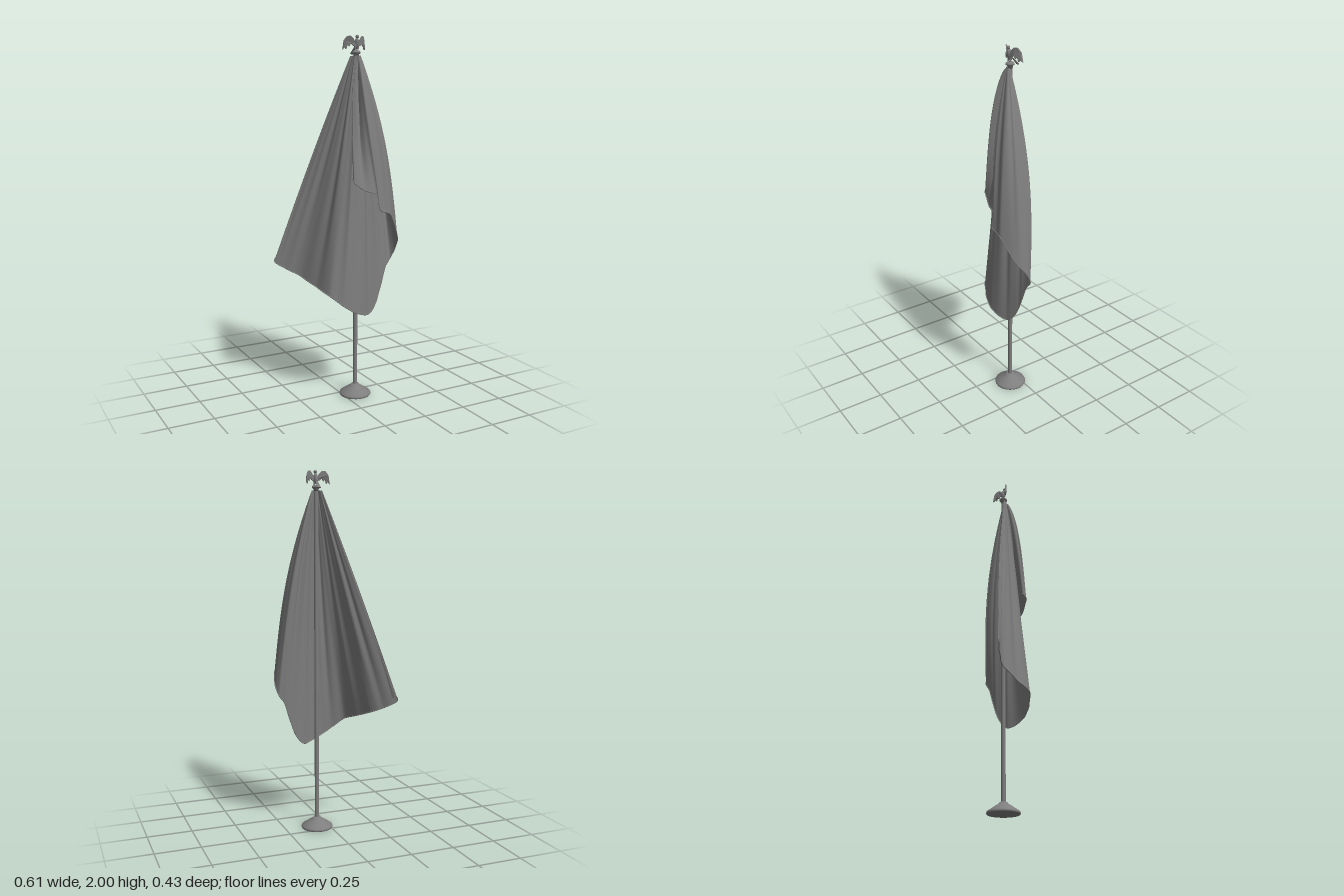
import * as THREE from 'three';

const PX = 0.07, PZ = 0.055; // pole axis
const material = new THREE.MeshStandardMaterial({ color: 0x7e7e7e });
const clothMaterial = new THREE.MeshStandardMaterial({ color: 0x7e7e7e, side: THREE.DoubleSide });

function part(name, geometry, x = 0, y = 0, z = 0, mat = material) {
  const mesh = new THREE.Mesh(geometry, mat);
  mesh.name = name;
  mesh.position.set(x, y, z);
  return mesh;
}

function lathe(points, sides) {
  return new THREE.LatheGeometry(points.map(p => new THREE.Vector2(p[0], p[1])), sides);
}

// Cloth columns along the hem: hem x, y, z, then sideways and forward bulge
const columns = [
  [-0.275, 0.775, -0.192, 0, 0], [-0.292, 0.785, -0.21, 0, -0.012], [-0.3, 0.755, -0.208, 0, -0.015],
  [-0.24, 0.715, -0.165, 0, -0.01], [-0.19, 0.685, -0.11, 0, 0], [-0.15, 0.645, 0.0, 0, 0],
  [-0.115, 0.61, 0.1, 0, 0], [-0.05, 0.555, 0.135, 0, 0.01], [0.02, 0.51, 0.148, 0, 0.01],
  [0.12, 0.48, 0.118, 0.01, 0.01], [0.18, 0.54, 0.096, 0.02, 0], [0.22, 0.64, 0.084, 0.03, -0.015],
  [0.25, 0.73, 0.078, 0.035, -0.025], [0.285, 0.78, 0.075, 0.035, -0.03], [0.298, 0.85, 0.11, 0.035, 0],
  [0.27, 0.93, 0.165, 0.035, 0.012], [0.2, 1.05, 0.205, 0.03, 0.02], [0.135, 1.08, 0.21, 0.005, 0.022],
  [0.12, 1.16, 0.2, -0.015, 0.02], [0.05, 1.19, 0.183, 0, -0.025], [0, 1.23, 0.165, -0.028, 0.018],
  [0.005, 1.26, 0.145, -0.026, 0.012], [0.07, 1.27, 0.145, 0, -0.01], [0.12, 1.29, 0.15, 0, -0.01],
];
const spline = pts => new THREE.CatmullRomCurve3(pts, false, 'catmullrom', 0.4);
const hemCurve = spline(columns.map(c => new THREE.Vector3(c[0], c[1], c[2])));
const bulgeCurve = spline(columns.map(c => new THREE.Vector3(c[3], 0, c[4])));

// Point on the cloth: u runs along the hem, v from the gathered top down
function clothPoint(u, v) {
  const hem = hemCurve.getPoint(u);
  const top = new THREE.Vector3(PX + (hem.x - PX) * 0.08, 1.89, PZ + 0.01 + (hem.z - PZ) * 0.08);
  const tangent = hemCurve.getTangent(u);
  const p = top.lerp(hem, v);
  // The folded-over flap bulges higher up than the hanging sheet
  const rise = 0.9 - 0.3 * THREE.MathUtils.smoothstep(u, 0.78, 0.87);
  p.addScaledVector(bulgeCurve.getPoint(u), Math.sin(Math.PI * Math.pow(v, rise)));
  // Pleats fanning out from the top
  const ends = Math.min(1, u * 12, (1 - u) * 12);
  const fold = Math.sin(u * Math.PI * 34) * 0.0045 + Math.sin(u * Math.PI * 58 + v * 3) * 0.002;
  const depth = fold * ends * Math.sin(Math.PI * (0.06 + 0.8 * v));
  p.x -= tangent.z * depth;
  p.z += tangent.x * depth;
  return p;
}

function clothGeometry(cols, rows) {
  const positions = [], index = [];
  for (let j = 0; j <= rows; j++) {
    for (let i = 0; i <= cols; i++) {
      positions.push(...clothPoint(i / cols, j / rows).toArray());
      if (i < cols && j < rows) {
        const a = j * (cols + 1) + i, b = a + cols + 1;
        index.push(a, b, a + 1, b, b + 1, a + 1);
      }
    }
  }
  const g = new THREE.BufferGeometry();
  g.setAttribute('position', new THREE.Float32BufferAttribute(positions, 3));
  g.setIndex(index);
  g.computeVertexNormals();
  return g;
}

// Raised wing with a feathered lower edge, swept backward toward the tip
function wingGeometry(side) {
  const outline = [[0.006, 0.034], [0.02, 0.062], [0.034, 0.077], [0.048, 0.076], [0.061, 0.055],
    [0.067, 0.008], [0.059, 0.02], [0.053, 0.01], [0.047, 0.034], [0.04, 0.024],
    [0.032, 0.04], [0.024, 0.03], [0.006, 0.02]];
  const shape = new THREE.Shape(outline.map(p => new THREE.Vector2(p[0] * side, p[1])));
  const g = new THREE.ExtrudeGeometry(shape, {
    depth: 0.005, bevelEnabled: true, bevelSize: 0.001, bevelThickness: 0.0015, bevelSegments: 1,
  });
  const pos = g.attributes.position;
  for (let i = 0; i < pos.count; i++) {
    const x = Math.abs(pos.getX(i));
    pos.setZ(i, pos.getZ(i) + 0.005 - x * x * 8);
  }
  g.computeVertexNormals();
  return g;
}

function createFinial() {
  const finial = new THREE.Group();
  finial.name = 'birdFinial';
  finial.position.set(PX, 1.915, PZ);
  const body = part('birdBody', new THREE.SphereGeometry(1, 16, 12), 0, 0.038, 0.002);
  body.scale.set(0.012, 0.032, 0.014);
  body.rotation.x = 0.25;
  const head = part('birdHead', new THREE.SphereGeometry(0.009, 14, 10), 0, 0.074, 0.01);
  const beak = part('birdBeak', new THREE.ConeGeometry(0.004, 0.014, 8), 0, 0.071, 0.021);
  beak.rotation.x = 1.9;
  const tail = part('birdTail', new THREE.CylinderGeometry(0.006, 0.012, 0.045, 10), 0, 0.003, -0.03);
  tail.scale.z = 0.4;
  tail.rotation.x = 0.75;
  finial.add(body, head, beak, tail);
  for (const side of [-1, 1]) {
    finial.add(part(side > 0 ? 'leftWing' : 'rightWing', wingGeometry(side)));
    finial.add(part(side > 0 ? 'leftLeg' : 'rightLeg',
      new THREE.CylinderGeometry(0.005, 0.003, 0.025, 8), side * 0.008, 0.01, 0.004));
  }
  return finial;
}

export function createModel() {
  const model = new THREE.Group();
  model.name = 'flagOnStand';

  // Weighted base with a flared foot
  model.add(part('base', lathe([[0, 0], [0.086, 0], [0.089, 0.006], [0.086, 0.014], [0.068, 0.026],
    [0.045, 0.042], [0.026, 0.054], [0.02, 0.062], [0, 0.062]], 28), PX, 0, PZ));

  // Pole and the cap that carries the finial
  model.add(part('pole', new THREE.CylinderGeometry(0.012, 0.012, 1.85, 16), PX, 0.975, PZ));
  model.add(part('poleCap', lathe([[0, 1.885], [0.013, 1.885], [0.014, 1.897], [0.023, 1.904],
    [0.023, 1.91], [0.014, 1.918], [0, 1.922]], 18), PX, 0, PZ));
  model.add(createFinial());

  // Draped flag with a rolled hem
  model.add(part('flag', clothGeometry(320, 48), 0, 0, 0, clothMaterial));
  const hemPoints = [];
  for (let i = 0; i <= 160; i++) hemPoints.push(clothPoint(i / 160, 1));
  model.add(part('flagHem', new THREE.TubeGeometry(new THREE.CatmullRomCurve3(hemPoints), 320, 0.003, 6),
    0, 0, 0, clothMaterial));
  return model;
}
